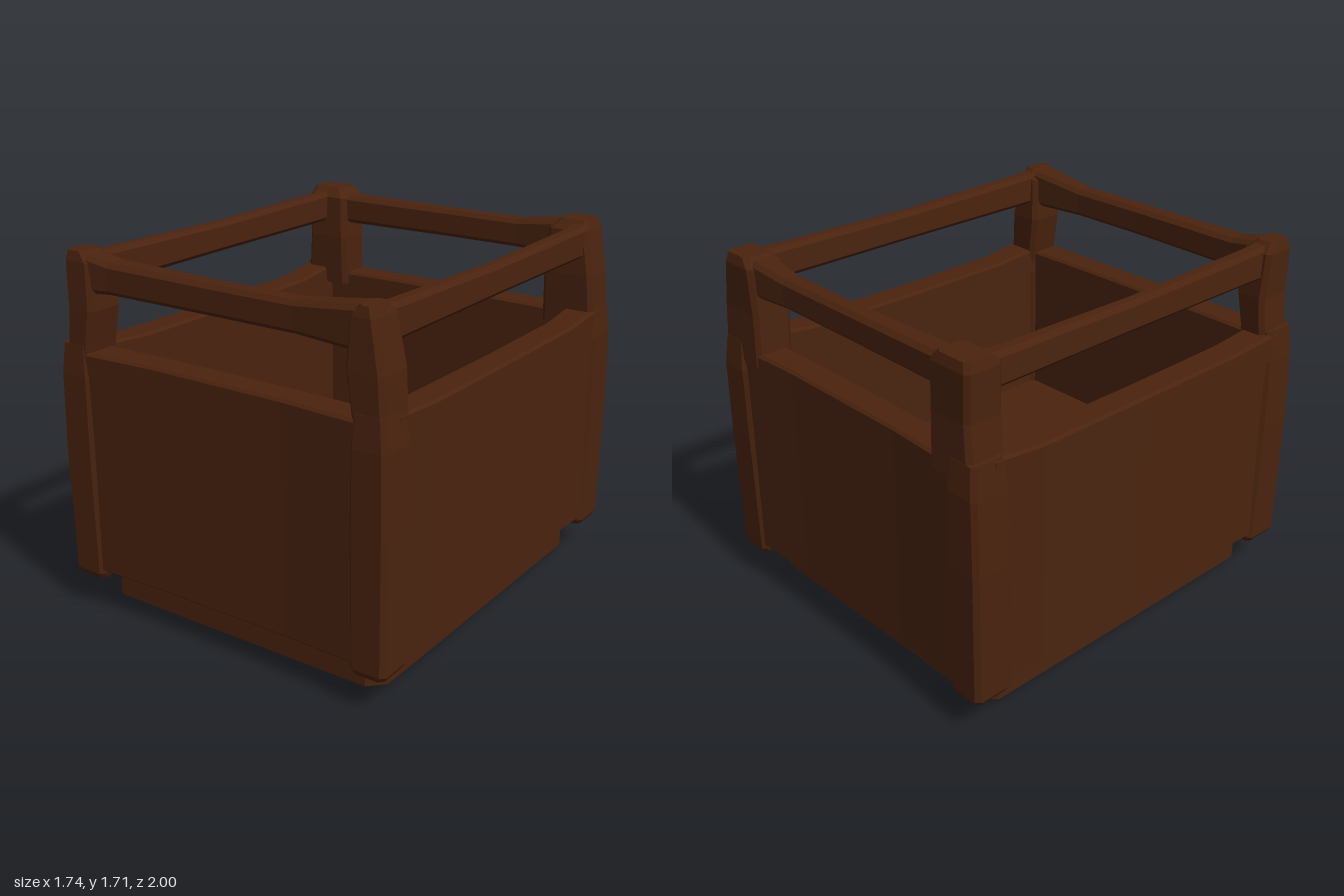
import * as THREE from 'three';

// Joins chamfered rectangles placed along an axis: [t, u0, u1, v0, v1, chamfer].
// (u, v) is (y, z) along x, (z, x) along y and (x, y) along z.
function loft(axis, sections) {
  const place = {
    x: (t, u, v) => [t, u, v],
    y: (t, u, v) => [v, t, u],
    z: (t, u, v) => [u, v, t],
  }[axis];
  const rings = sections.map(([t, u0, u1, v0, v1, c = 0.012]) => [
    [u0 + c, v0], [u1 - c, v0], [u1, v0 + c], [u1, v1 - c],
    [u1 - c, v1], [u0 + c, v1], [u0, v1 - c], [u0, v0 + c],
  ].map(([u, v]) => place(t, u, v)));
  const pos = [];
  const tri = (a, b, c) => pos.push(...a, ...b, ...c);
  const n = 8;
  for (let r = 0; r < rings.length - 1; r++) {
    for (let i = 0; i < n; i++) {
      const j = (i + 1) % n;
      tri(rings[r][i], rings[r][j], rings[r + 1][j]);
      tri(rings[r][i], rings[r + 1][j], rings[r + 1][i]);
    }
  }
  const first = rings[0], last = rings[rings.length - 1];
  for (let i = 1; i < n - 1; i++) {
    tri(first[0], first[i + 1], first[i]);
    tri(last[0], last[i], last[i + 1]);
  }
  const g = new THREE.BufferGeometry();
  g.setAttribute('position', new THREE.Float32BufferAttribute(pos, 3));
  g.computeVertexNormals();
  return g;
}

export function createModel() {
  const group = new THREE.Group();
  const wood = new THREE.MeshStandardMaterial({ color: 0x4a230e });
  wood.name = 'darkWood';
  const add = (name, geometry) => {
    const mesh = new THREE.Mesh(geometry, wood);
    mesh.name = name;
    group.add(mesh);
  };
  const span = (s, a, b) => (s > 0 ? [a, b] : [-b, -a]);

  // Recessed base with a rounded lower edge
  add('base', loft('y', [
    [0, -0.79, 0.81, -0.70, 0.70, 0.05],
    [0.04, -0.855, 0.875, -0.765, 0.765, 0.07],
    [0.17, -0.855, 0.875, -0.765, 0.765, 0.07],
    [0.23, -0.82, 0.84, -0.74, 0.74, 0.05],
  ]));
  add('floor', loft('y', [
    [0.2, -0.88, 0.88, -0.76, 0.76],
    [0.5, -0.88, 0.88, -0.76, 0.76],
  ]));

  // Front and back walls with their top rails
  for (const s of [1, -1]) {
    const side = s > 0 ? 'front' : 'back';
    const wall = (x, top, out) => [x, 0.2, top, ...span(s, 0.83, out)];
    add(side + 'Wall', loft('x', [
      wall(-0.76, 1.26, 0.985), wall(-0.35, 1.265, 0.97),
      wall(0.35, 1.265, 0.97), wall(0.76, 1.26, 0.985),
    ]));
    const rail = (x, low, top, inn, out) => [x, low, top, ...span(s, inn, out), 0.02];
    add(side + 'Rail', loft('x', [
      rail(-0.74, 1.52, 1.70, 0.82, 0.965), rail(-0.58, 1.53, 1.67, 0.83, 0.95),
      rail(0, 1.53, 1.665, 0.845, 0.945), rail(0.4, 1.53, 1.665, 0.84, 0.945),
      rail(0.7, 1.52, 1.70, 0.82, 0.965),
    ]));
  }

  // Side walls with their top rails
  for (const s of [1, -1]) {
    const side = s > 0 ? 'left' : 'right';
    const wall = (z, top, out) => [z, ...span(s, 0.705, out), 0.2, top];
    add(side + 'Wall', loft('z', [
      wall(-0.88, 1.29, 0.855), wall(-0.6, 1.255, 0.845), wall(0, 1.25, 0.84),
      wall(0.6, 1.255, 0.845), wall(0.88, 1.28, 0.855),
    ]));
    const rail = (z, low, top, inn, out) => [z, ...span(s, inn, out), low, top, 0.02];
    add(side + 'Rail', loft('z', [
      rail(-0.9, 1.52, 1.70, 0.69, 0.79), rail(-0.78, 1.53, 1.68, 0.70, 0.785),
      rail(0, 1.53, 1.67, 0.705, 0.78), rail(0.78, 1.53, 1.685, 0.70, 0.785),
      rail(0.9, 1.52, 1.70, 0.69, 0.79),
    ]));
  }

  // Corner blocks and the upright posts on them
  for (const sx of [1, -1]) {
    for (const sz of [1, -1]) {
      const name = (sz > 0 ? 'front' : 'back') + (sx > 0 ? 'Left' : 'Right');
      const ring = (y, z0, z1, x0, x1, c) => [y, ...span(sz, z0, z1), ...span(sx, x0, x1), c];
      const top = sz > 0 ? 0.975 : 0.99;
      add(name + 'Corner', loft('y', [
        ring(0.165, 0.81, 0.985, 0.70, 0.85, 0.02),
        ring(0.19, 0.80, 0.995, 0.69, 0.865, 0.02),
        ring(0.8, 0.80, 1.0, 0.69, 0.87, 0.02),
        ring(1.15, 0.80, sz > 0 ? 0.995 : 1.0, 0.69, 0.865, 0.02),
        ring(1.29, 0.82, 0.985, 0.70, 0.85, 0.02),
      ]));
      const inner = sz > 0 ? 0.66 : 0.585;
      const lean = sx > 0 ? 0.845 : 0.82;
      add(name + 'Post', loft('y', [
        ring(1.2, 0.80, 0.985, inner + (sz > 0 ? 0.04 : 0), lean + 0.01, 0.02),
        ring(1.45, 0.79, 0.98, inner, lean - 0.01, 0.02),
        ring(1.66, 0.80, top - 0.005, inner + 0.01, sx > 0 ? 0.795 : 0.82, 0.02),
        ring(1.705, 0.84, top - 0.015, inner + 0.05, sx > 0 ? 0.78 : 0.81, 0.02),
      ]));
    }
  }

  group.traverse((o) => { if (o.isMesh) o.material.flatShading = true; });
  return group;
}
